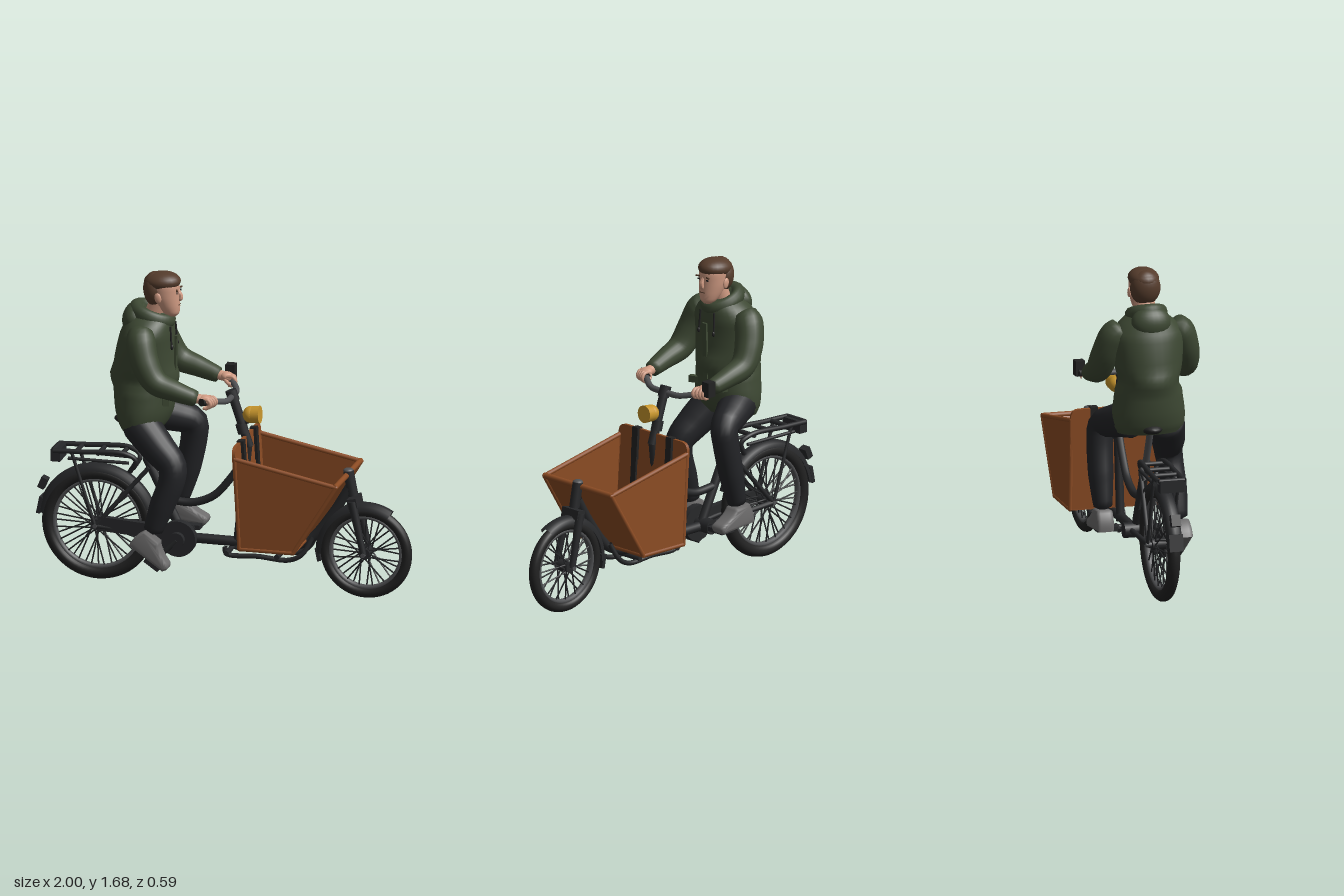
import * as THREE from 'three';
import { mergeVertices, toCreasedNormals } from 'three/addons/utils/BufferGeometryUtils.js';

const mat = (name, color, side = THREE.FrontSide) => {
  const m = new THREE.MeshStandardMaterial({ color, side });
  m.name = name;
  return m;
};
const V = (a) => new THREE.Vector3(...a);

export function createModel() {
  const frameMat = mat('charcoal frame', 0x27282a, THREE.DoubleSide);
  const tyreMat = mat('black rubber', 0x222222);
  const greyMat = mat('grey metal', 0x505153);
  const woodMat = mat('brown box', 0x8c4c24);
  const lampMat = mat('yellow lamp', 0xc8962c);
  const jacketMat = mat('green jacket', 0x3d4833);
  const trouserMat = mat('dark trousers', 0x232427);
  const shoeMat = mat('grey shoes', 0x6c6b6b);
  const skinMat = mat('skin', 0xcf9a82);
  const hairMat = mat('brown hair', 0x553c2c);

  const root = new THREE.Group();
  const bike = new THREE.Group(), rider = new THREE.Group();
  bike.name = 'cargoBike'; bike.position.z = -0.015;
  rider.name = 'rider'; rider.position.z = -0.005;
  root.add(bike, rider);

  const add = (parent, name, geo, m, pos = [0, 0, 0], rot = [0, 0, 0]) => {
    const mesh = new THREE.Mesh(geo, m);
    mesh.name = name; mesh.position.set(...pos); mesh.rotation.set(...rot);
    parent.add(mesh);
    return mesh;
  };
  const box = (p, name, m, size, pos, rot) => add(p, name, new THREE.BoxGeometry(...size), m, pos, rot);
  const ball = (p, name, m, radii, pos, rot) =>
    add(p, name, new THREE.SphereGeometry(1, 24, 16).scale(...radii), m, pos, rot);
  // straight round bar between two points
  const rod = (p, name, m, a, b, r, r2 = r, seg = 12) => {
    const A = V(a), d = V(b).sub(A);
    const mesh = add(p, name, new THREE.CylinderGeometry(r2, r, d.length(), seg), m);
    mesh.position.copy(A).addScaledVector(d, 0.5);
    mesh.quaternion.setFromUnitVectors(new THREE.Vector3(0, 1, 0), d.normalize());
    return mesh;
  };
  const tube = (p, name, m, pts, r, closed = false) =>
    add(p, name, new THREE.TubeGeometry(new THREE.CatmullRomCurve3(pts.map(V), closed, 'centripetal'), 40, r, 10, closed), m);
  const smooth = (geo) => {
    geo.deleteAttribute('uv'); geo.deleteAttribute('normal');
    return toCreasedNormals(mergeVertices(geo, 1e-5), 1.1);
  };
  // tapering tube; each point is [x, y, z, radius]
  const limb = (p, name, m, pts) => {
    const curve = new THREE.CatmullRomCurve3(pts.map((q) => V(q.slice(0, 3))), false, 'centripetal');
    const n = 28, seg = 18, geo = new THREE.TubeGeometry(curve, n, 1, seg), at = geo.attributes.position;
    for (let i = 0; i <= n; i++) {
      const c = curve.getPointAt(i / n), t = curve.getUtoTmapping(i / n) * (pts.length - 1);
      const k = Math.min(Math.floor(t), pts.length - 2);
      const r = i === 0 || i === n ? 0.001 : THREE.MathUtils.lerp(pts[k][3], pts[k + 1][3], t - k);
      for (let j = 0; j <= seg; j++) {
        const id = i * (seg + 1) + j;
        const v = new THREE.Vector3().fromBufferAttribute(at, id).sub(c).multiplyScalar(r).add(c);
        at.setXYZ(id, v.x, v.y, v.z);
      }
    }
    return add(p, name, smooth(geo), m);
  };
  // stacked ellipses from bottom to top; each ring is [y, centreX, radiusX, radiusZ]
  const loft = (p, name, m, rings) => {
    const A = new THREE.CatmullRomCurve3(rings.map((r) => new THREE.Vector3(r[1], r[0], 0)));
    const B = new THREE.CatmullRomCurve3(rings.map((r) => new THREE.Vector3(r[2], 0, r[3])));
    const geo = new THREE.CylinderGeometry(1, 1, 1, 32, rings.length * 3), at = geo.attributes.position;
    for (let i = 0; i < at.count; i++) {
      const t = at.getY(i) + 0.5, c = A.getPoint(t), r = B.getPoint(t);
      at.setXYZ(i, c.x + at.getX(i) * r.x, c.y, at.getZ(i) * r.z);
    }
    return add(p, name, smooth(geo), m);
  };

  // wheels with tyre, rim, hub, spokes and mudguard
  const wheel = (name, x, y, R, tr, spokes, phi0, phi1) => {
    const g = new THREE.Group();
    g.name = name; g.position.set(x, y, 0); bike.add(g);
    const rr = R - 2 * tr;
    add(g, 'tyre', new THREE.TorusGeometry(R - tr, tr, 14, 64), tyreMat);
    add(g, 'rim', new THREE.TorusGeometry(rr, 0.013, 8, 64).scale(1, 1, 1.5), greyMat);
    rod(g, 'hub', frameMat, [0, 0, -0.045], [0, 0, 0.045], 0.03, 0.03, 20);
    rod(g, 'axle', greyMat, [0, 0, -0.075], [0, 0, 0.075], 0.012);
    for (let i = 0; i < spokes; i++) {
      const a = (i / spokes) * Math.PI * 2, b = a + (i % 4 < 2 ? 0.55 : -0.55), z = i % 2 ? 0.03 : -0.03;
      rod(g, 'spoke', frameMat, [0.028 * Math.cos(b), 0.028 * Math.sin(b), z],
        [rr * Math.cos(a), rr * Math.sin(a), z * 0.2], 0.0042, 0.0042, 5);
    }
    const prof = [[-0.015, -0.04], [0.008, -0.036], [0.02, -0.018], [0.022, 0], [0.02, 0.018], [0.008, 0.036], [-0.015, 0.04]];
    const d = Math.PI / 180;
    add(g, 'mudguard', new THREE.LatheGeometry(prof.map(([r, h]) => new THREE.Vector2(R + r, h)), 40,
      phi0 * d, (phi1 - phi0) * d).rotateX(Math.PI / 2), frameMat);
  };
  wheel('rearWheel', -0.677, 0.305, 0.3, 0.033, 40, 110, 262);
  wheel('frontWheel', 0.755, 0.26, 0.245, 0.028, 32, 148, 274);
  box(bike, 'rearMudflap', frameMat, [0.02, 0.09, 0.075], [-0.982, 0.385, 0], [0, 0, -0.2]);
  box(bike, 'tailLight', frameMat, [0.035, 0.06, 0.05], [-0.97, 0.5, 0], [0, 0, -0.4]);
  box(bike, 'frontMudflap', frameMat, [0.02, 0.07, 0.07], [0.505, 0.235, 0], [0, 0, 0.2]);

  // frame
  tube(bike, 'mainTube', frameMat, [[-0.22, 0.265, 0], [0.1, 0.262, 0], [0.36, 0.262, 0], [0.46, 0.31, 0], [0.58, 0.46, 0], [0.665, 0.6, 0]], 0.026);
  tube(bike, 'swoopTube', frameMat, [[0.11, 0.72, 0], [0.03, 0.6, 0], [-0.06, 0.5, 0], [-0.17, 0.455, 0], [-0.3, 0.46, 0]], 0.021);
  rod(bike, 'seatTube', frameMat, [-0.22, 0.27, 0], [-0.42, 0.68, 0], 0.024);
  rod(bike, 'seatPost', greyMat, [-0.41, 0.66, 0], [-0.5, 0.86, 0], 0.018);
  ball(bike, 'saddle', tyreMat, [0.13, 0.035, 0.07], [-0.46, 0.88, 0]);
  rod(bike, 'steeringTube', frameMat, [0.065, 0.24, 0], [0.125, 0.8, 0], 0.023);
  rod(bike, 'steeringColumn', frameMat, [0.13, 0.78, 0], [0.04, 1.05, 0], 0.024);
  rod(bike, 'columnCollar', frameMat, [0.1, 0.85, 0], [0.085, 0.9, 0], 0.03);
  rod(bike, 'stemCap', frameMat, [0.05, 1.02, 0], [0.03, 1.075, 0], 0.03);
  rod(bike, 'headTube', frameMat, [0.685, 0.56, 0], [0.66, 0.69, 0], 0.028);
  ball(bike, 'headCap', greyMat, [0.027, 0.014, 0.027], [0.66, 0.692, 0]);
  box(bike, 'forkCrown', frameMat, [0.05, 0.05, 0.12], [0.694, 0.53, 0], [0, 0, 0.2]);
  for (const s of [-1, 1]) {
    rod(bike, 'forkLeg', frameMat, [0.692, 0.54, 0.05 * s], [0.755, 0.26, 0.058 * s], 0.023, 0.016);
    rod(bike, 'chainStay', frameMat, [-0.22, 0.27, 0.03 * s], [-0.677, 0.305, 0.06 * s], 0.014);
    rod(bike, 'seatStay', frameMat, [-0.4, 0.63, 0.025 * s], [-0.677, 0.305, 0.06 * s], 0.012);
    tube(bike, 'boxSupport', frameMat, [[0.02, 0.25, 0.07 * s], [0.025, 0.215, 0.07 * s], [0.2, 0.212, 0.07 * s], [0.36, 0.205, 0.07 * s], [0.43, 0.24, 0.07 * s], [0.48, 0.33, 0.05 * s]], 0.013);
    // carrier side rails and legs
    tube(bike, 'carrierRail', frameMat, [[-0.9, 0.695, 0.068 * s], [-0.75, 0.7, 0.068 * s], [-0.52, 0.705, 0.06 * s], [-0.465, 0.67, 0.045 * s], [-0.5, 0.6, 0.03 * s]], 0.013);
    rod(bike, 'carrierLowerRail', frameMat, [-0.82, 0.66, 0.068 * s], [-0.5, 0.655, 0.055 * s], 0.009);
    rod(bike, 'carrierLeg', frameMat, [-0.8, 0.69, 0.068 * s], [-0.677, 0.305, 0.065 * s], 0.009);
  }
  for (const x of [-0.9, -0.78, -0.66, -0.54]) rod(bike, 'carrierBar', frameMat, [x, 0.697, -0.068], [x, 0.697, 0.068], 0.012);
  box(bike, 'carrierLight', frameMat, [0.05, 0.065, 0.13], [-0.89, 0.668, 0]);
  for (const x of [0.03, 0.3]) rod(bike, 'supportBar', frameMat, [x, 0.22, -0.09], [x, 0.22, 0.09], 0.014);

  // drive
  rod(bike, 'chainCase', frameMat, [-0.235, 0.27, 0.03], [-0.235, 0.27, 0.07], 0.095, 0.095, 32);
  box(bike, 'chainGuard', frameMat, [0.44, 0.075, 0.035], [-0.44, 0.305, 0.05], [0, 0, -0.07]);
  rod(bike, 'bottomBracket', frameMat, [-0.235, 0.27, -0.07], [-0.235, 0.27, 0.1], 0.04, 0.04, 20);
  rod(bike, 'nearCrank', frameMat, [-0.235, 0.27, 0.09], [-0.335, 0.165, 0.095], 0.013);
  rod(bike, 'farCrank', frameMat, [-0.235, 0.27, -0.09], [-0.19, 0.29, -0.1], 0.013);
  box(bike, 'nearPedal', frameMat, [0.09, 0.024, 0.11], [-0.335, 0.165, 0.16], [0, 0, -0.6]);
  box(bike, 'farPedal', frameMat, [0.09, 0.024, 0.11], [-0.21, 0.285, -0.16]);

  // handlebar, grips, bell and lamp
  tube(bike, 'handlebar', greyMat, [[-0.05, 1.075, -0.23], [0, 1.06, -0.17], [0.035, 1.045, -0.1], [0.04, 1.045, 0], [0.035, 1.045, 0.1], [0, 1.06, 0.17], [-0.05, 1.075, 0.23]], 0.016);
  for (const s of [-1, 1]) rod(bike, 'grip', tyreMat, [-0.02, 1.066, 0.19 * s], [-0.055, 1.078, 0.265 * s], 0.02);
  box(bike, 'controlUnit', tyreMat, [0.05, 0.08, 0.05], [-0.035, 1.1, -0.25]);
  ball(bike, 'lampHousing', lampMat, [0.042, 0.044, 0.044], [0.138, 0.952, 0]);
  rod(bike, 'lampRim', lampMat, [0.14, 0.952, 0], [0.188, 0.955, 0], 0.043, 0.046, 24);
  rod(bike, 'lampBracket', frameMat, [0.09, 0.9, 0], [0.135, 0.92, 0], 0.012);

  // cargo box
  const W = 0.255, sidePts = [[0.145, 0.3], [0.43, 0.3], [0.66, 0.67], [0.12, 0.78]];
  const sideShape = new THREE.Shape(sidePts.map((q) => new THREE.Vector2(...q)));
  const cargo = new THREE.Group();
  cargo.name = 'cargoBox'; bike.add(cargo);
  for (const s of [-1, 1]) {
    add(cargo, 'sidePanel', new THREE.ExtrudeGeometry(sideShape, { depth: 0.014, bevelEnabled: false }), woodMat, [0, 0, s * (W - 0.007) - 0.007]);
    sidePts.forEach((q, i) => {
      const e = sidePts[(i + 1) % 4];
      rod(cargo, 'edgeBead', woodMat, [...q, s * (W - 0.007)], [...e, s * (W - 0.007)], 0.012);
      ball(cargo, 'cornerBead', woodMat, [0.012, 0.012, 0.012], [...q, s * (W - 0.007)]);
    });
    // straps hung over the back panel
    box(cargo, 'strap', tyreMat, [0.036, 0.17, 0.04], [0.124, 0.762, 0.125 * s - 0.005], [0, 0, 0.064]);
    box(cargo, 'lowerStrap', tyreMat, [0.012, 0.24, 0.035], [0.148, 0.57, 0.125 * s - 0.005], [0, 0, 0.064]);
  }
  const back = new THREE.Shape();
  back.moveTo(-W, 0).lineTo(W, 0).lineTo(W, 0.49).quadraticCurveTo(W, 0.54, W - 0.05, 0.54)
    .lineTo(-W + 0.05, 0.54).quadraticCurveTo(-W, 0.54, -W, 0.49).lineTo(-W, 0);
  const backGeo = new THREE.ExtrudeGeometry(back, { depth: 0.018, bevelEnabled: false }).rotateY(Math.PI / 2);
  add(cargo, 'backPanel', backGeo, woodMat, [0.138, 0.3, 0], [0, 0, 0.064]);
  box(cargo, 'floor', woodMat, [0.29, 0.016, 2 * W - 0.01], [0.287, 0.3, 0]);
  const slope = Math.atan2(0.37, 0.23);
  box(cargo, 'frontPanel', woodMat, [0.436, 0.014, 2 * W - 0.01], [0.54, 0.485, 0], [0, 0, slope]);
  rod(cargo, 'frontLip', woodMat, [0.655, 0.67, -W], [0.655, 0.67, W], 0.015);
  rod(cargo, 'bottomLip', woodMat, [0.43, 0.302, -W], [0.43, 0.302, W], 0.013);

  // jacket
  loft(rider, 'jacketBody', jacketMat, [
    [0.85, -0.435, 0.105, 0.17], [0.89, -0.43, 0.13, 0.188], [0.96, -0.425, 0.152, 0.19], [1.07, -0.425, 0.162, 0.175],
    [1.18, -0.425, 0.162, 0.175], [1.28, -0.42, 0.15, 0.183], [1.36, -0.41, 0.14, 0.186], [1.42, -0.4, 0.125, 0.15],
    [1.46, -0.395, 0.105, 0.1], [1.475, -0.395, 0.085, 0.075]]);
  add(rider, 'hoodCollar', new THREE.TorusGeometry(0.082, 0.034, 12, 32).rotateX(Math.PI / 2).scale(1.1, 1.2, 0.95), jacketMat, [-0.385, 1.458, 0], [0, 0, -0.36]);
  ball(rider, 'hood', jacketMat, [0.065, 0.085, 0.105], [-0.475, 1.435, 0], [0, 0, -0.25]);
  box(rider, 'zipFlap', jacketMat, [0.012, 0.3, 0.03], [-0.261, 1.2, 0], [0, 0, -0.03]);
  for (const s of [-1, 1]) {
    rod(rider, 'drawstring', tyreMat, [-0.275, 1.41, 0.05 * s], [-0.268, 1.3, 0.055 * s], 0.005);
    ball(rider, 'toggle', tyreMat, [0.008, 0.014, 0.008], [-0.266, 1.3, 0.055 * s]);
    box(rider, 'pocketFlap', jacketMat, [0.03, 0.035, 0.09], [-0.292, 1.02, 0.09 * s], [0, s * 0.35, 0]);
    limb(rider, 'sleeve', jacketMat, [[-0.41, 1.405, 0.13 * s, 0.06], [-0.4, 1.36, 0.175 * s, 0.078], [-0.365, 1.25, 0.215 * s, 0.074],
      [-0.305, 1.16, 0.232 * s, 0.066], [-0.2, 1.12, 0.232 * s, 0.054], [-0.09, 1.085, 0.222 * s, 0.04], [-0.075, 1.08, 0.22 * s, 0.036]]);
    // hands
    limb(rider, 'wrist', skinMat, [[-0.11, 1.09, 0.222 * s, 0.026], [-0.06, 1.083, 0.217 * s, 0.026], [-0.04, 1.08, 0.215 * s, 0.028]]);
    ball(rider, 'palm', skinMat, [0.038, 0.025, 0.036], [-0.042, 1.083, 0.215 * s], [0, 0, -0.25]);
    for (let f = 0; f < 4; f++) {
      const z = (0.188 + f * 0.018) * s, x = -0.01 - f * 0.006;
      tube(rider, 'finger', skinMat, [[x - 0.03, 1.09, z], [x + 0.005, 1.088, z], [x + 0.018, 1.066, z], [x, 1.045, z], [x - 0.02, 1.045, z]], 0.0095);
    }
    tube(rider, 'thumb', skinMat, [[-0.05, 1.075, 0.19 * s], [-0.03, 1.06, 0.175 * s], [-0.01, 1.052, 0.172 * s]], 0.01);
    // ears, brows and eyes
    ball(rider, 'ear', skinMat, [0.018, 0.028, 0.009], [-0.335, 1.565, 0.077 * s], [0, 0, 0.2]);
    box(rider, 'brow', hairMat, [0.008, 0.007, 0.036], [-0.246, 1.602, 0.032 * s], [0, s * 0.35, 0]);
    box(rider, 'eye', tyreMat, [0.006, 0.008, 0.018], [-0.246, 1.587, 0.03 * s], [0, s * 0.35, 0]);
  }

  // head
  rod(rider, 'neck', skinMat, [-0.385, 1.42, 0], [-0.34, 1.54, 0], 0.055, 0.053, 20);
  loft(rider, 'face', skinMat, [[1.455, -0.28, 0.022, 0.022], [1.472, -0.285, 0.043, 0.042], [1.51, -0.3, 0.062, 0.058],
    [1.56, -0.315, 0.075, 0.07], [1.62, -0.32, 0.078, 0.074], [1.66, -0.325, 0.065, 0.06]]);
  limb(rider, 'nose', skinMat, [[-0.25, 1.6, 0, 0.008], [-0.234, 1.565, 0, 0.012], [-0.236, 1.55, 0, 0.013], [-0.25, 1.545, 0, 0.008]]);
  box(rider, 'mouth', hairMat, [0.006, 0.004, 0.036], [-0.241, 1.519, 0]);
  ball(rider, 'hairTop', hairMat, [0.097, 0.052, 0.08], [-0.332, 1.637, 0], [0, 0, 0.06]);
  ball(rider, 'hairBack', hairMat, [0.063, 0.093, 0.08], [-0.368, 1.592, 0], [0, 0, 0.1]);

  // legs
  limb(rider, 'nearLeg', trouserMat, [[-0.46, 0.92, 0.08, 0.08], [-0.42, 0.88, 0.095, 0.1], [-0.32, 0.78, 0.135, 0.09], [-0.235, 0.69, 0.16, 0.075],
    [-0.235, 0.62, 0.17, 0.07], [-0.285, 0.48, 0.18, 0.066], [-0.33, 0.35, 0.185, 0.05], [-0.335, 0.325, 0.185, 0.048]]);
  limb(rider, 'farLeg', trouserMat, [[-0.46, 0.92, -0.08, 0.08], [-0.41, 0.91, -0.095, 0.1], [-0.3, 0.875, -0.15, 0.086], [-0.215, 0.835, -0.19, 0.073],
    [-0.215, 0.76, -0.2, 0.07], [-0.25, 0.58, -0.205, 0.066], [-0.29, 0.42, -0.205, 0.048], [-0.295, 0.395, -0.205, 0.046]]);

  // shoes, side outline swept across the width
  const shoe = new THREE.Shape();
  shoe.moveTo(-0.07, -0.07).lineTo(0.14, -0.07).quadraticCurveTo(0.165, -0.04, 0.125, -0.028)
    .quadraticCurveTo(0.06, -0.005, 0.035, 0.03).lineTo(-0.05, 0.03).quadraticCurveTo(-0.08, -0.02, -0.07, -0.07);
  const shoeGeo = smooth(new THREE.ExtrudeGeometry(shoe, { depth: 0.05, bevelThickness: 0.02, bevelSize: 0.014, bevelOffset: -0.008, bevelSegments: 3, curveSegments: 8 }).translate(0, 0, -0.025));
  add(rider, 'nearShoe', shoeGeo, shoeMat, [-0.345, 0.285, 0.192], [0, 0, -0.62]);
  add(rider, 'farShoe', shoeGeo, shoeMat, [-0.29, 0.372, -0.21], [0, 0, -0.1]);
  return root;
}
